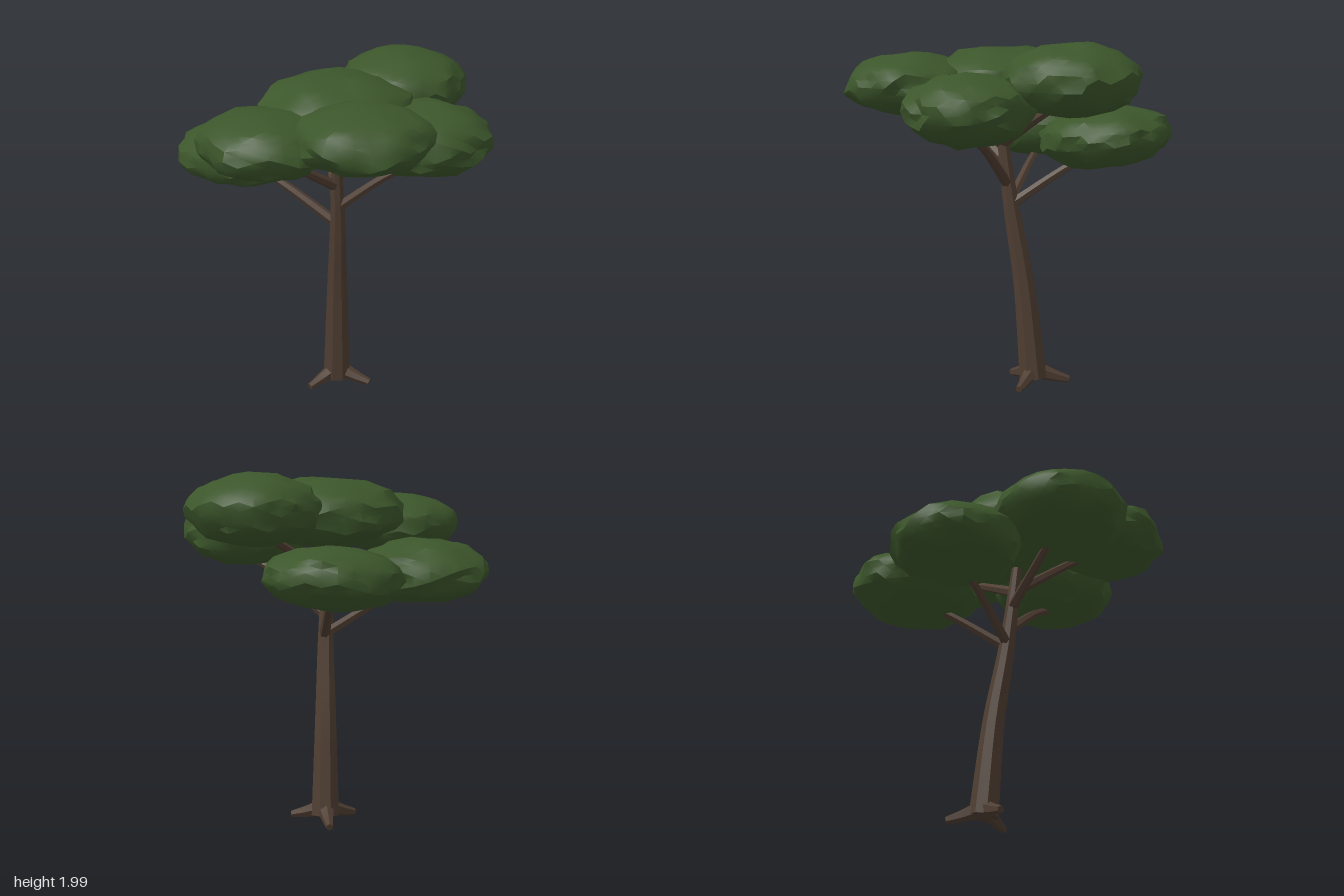
import * as THREE from 'three';
import { toCreasedNormals, mergeVertices } from 'three/addons/utils/BufferGeometryUtils.js';

const V = (p) => new THREE.Vector3(...p);

// Tapered, capped tube through a few points
function limbGeometry(points, r0, r1, sides, rings = 12) {
  const curve = new THREE.CatmullRomCurve3(points.map(V));
  const geo = new THREE.TubeGeometry(curve, rings, 1, sides);
  const pos = geo.attributes.position;
  const dir = new THREE.Vector3();
  for (let i = 0; i < pos.count; i++) {
    const ring = Math.floor(i / (sides + 1));
    const t = THREE.MathUtils.clamp((ring - 1) / (rings - 2), 0, 1);
    // first and last rings collapse to close the ends
    const r = ring === 0 || ring === rings ? 0 : THREE.MathUtils.lerp(r0, r1, t);
    dir.fromBufferAttribute(geo.attributes.normal, i);
    const p = curve.getPointAt(t).addScaledVector(dir, r);
    pos.setXYZ(i, p.x, p.y, p.z);
  }
  return toCreasedNormals(geo, 0.5);
}

function seeded(seed) {
  let s = seed * 7919 + 17;
  return () => (s = (s * 16807) % 2147483647) / 2147483647;
}

// Lumpy flattened leaf clump with the given mean radii
function clumpGeometry(radii, seed) {
  const rand = seeded(seed);
  let geo = new THREE.IcosahedronGeometry(1, 4);
  geo.deleteAttribute('normal');
  geo.deleteAttribute('uv');
  geo = mergeVertices(geo, 1e-3);
  const pos = geo.attributes.position;
  const p = new THREE.Vector3();
  for (let i = 0; i < pos.count; i++) {
    p.fromBufferAttribute(pos, i);
    const bump = Math.sin(p.x * 6 + seed * 3) * Math.cos(p.z * 6 - seed) * Math.cos(p.y * 3 + seed);
    const lump = 1 + 0.05 * bump + 0.09 * (rand() - 0.5);
    p.y = Math.sign(p.y) * Math.pow(Math.abs(p.y), 0.92);
    p.multiplyScalar(lump);
    pos.setXYZ(i, p.x, p.y, p.z);
  }
  geo.scale(...radii);
  return toCreasedNormals(geo, 0.6);
}

export function createModel() {
  const bark = new THREE.MeshStandardMaterial({ color: 0x4f3e32 });
  bark.name = 'bark';
  const leaves = new THREE.MeshStandardMaterial({ color: 0x3c562b });
  leaves.name = 'leaves';

  const tree = new THREE.Group();
  tree.name = 'tree';
  const add = (name, geo, mat) => {
    const mesh = new THREE.Mesh(geo, mat);
    mesh.name = name;
    tree.add(mesh);
    return mesh;
  };

  // Leaning trunk
  add('trunk', limbGeometry([
    [-0.02, 0.04, -0.136], [0, 0.6, -0.085], [0.028, 1.05, -0.017], [0.04, 1.55, 0.045],
  ], 0.084, 0.029, 8, 16), bark);

  // Three roots spread evenly around the base
  for (let i = 0; i < 3; i++) {
    const a = (i * Math.PI * 2) / 3;
    const at = (d, y) => [-0.02 + Math.cos(a) * d, y, -0.136 + Math.sin(a) * d];
    add('root', limbGeometry([at(0.02, 0.08), at(0.12, 0.045), at(0.207, 0.021)], 0.05, 0.021, 6), bark);
  }

  // Branches, one for each outer clump
  const branches = [
    ['leftLowBranch', [[0.02, 1.07, -0.01], [-0.3, 1.27, 0], [-0.48, 1.36, 0]]],
    ['backLowBranch', [[0.03, 1.06, -0.03], [-0.13, 1.28, -0.33], [-0.2, 1.34, -0.46]]],
    ['rightBranch', [[0.04, 1.17, 0], [0.34, 1.4, 0], [0.52, 1.49, 0]]],
    ['frontLeftBranch', [[0.03, 1.3, 0.02], [-0.12, 1.5, 0.32], [-0.18, 1.58, 0.44]]],
    ['frontRightBranch', [[0.04, 1.4, 0.03], [0.22, 1.59, 0.3], [0.32, 1.68, 0.44]]],
    ['backRightBranch', [[0.04, 1.4, 0.03], [0.2, 1.6, -0.3], [0.26, 1.68, -0.44]]],
  ];
  for (const [name, points] of branches) add(name, limbGeometry(points, 0.031, 0.02, 6), bark);

  // Leaf clumps: name, centre, mean radii, tilt about x
  const clumps = [
    ['leftLowLeaves', [-0.54, 1.445, 0.01], [0.36, 0.175, 0.355], 0],
    ['backLowLeaves', [-0.22, 1.435, -0.49], [0.38, 0.17, 0.37], 0.1],
    ['rightLeaves', [0.54, 1.635, 0], [0.36, 0.195, 0.35], 0],
    ['frontLeftLeaves', [-0.19, 1.67, 0.49], [0.37, 0.17, 0.365], 0],
    ['frontRightLeaves', [0.34, 1.745, 0.455], [0.365, 0.17, 0.36], 0],
    ['backRightLeaves', [0.245, 1.79, -0.475], [0.36, 0.195, 0.37], 0],
    ['crownLeaves', [0.04, 1.75, 0.02], [0.43, 0.195, 0.43], 0],
  ];
  clumps.forEach(([name, centre, radii, tilt], i) => {
    const clump = add(name, clumpGeometry(radii, i + 1), leaves);
    clump.position.set(...centre);
    clump.rotation.x = tilt;
  });

  return tree;
}
